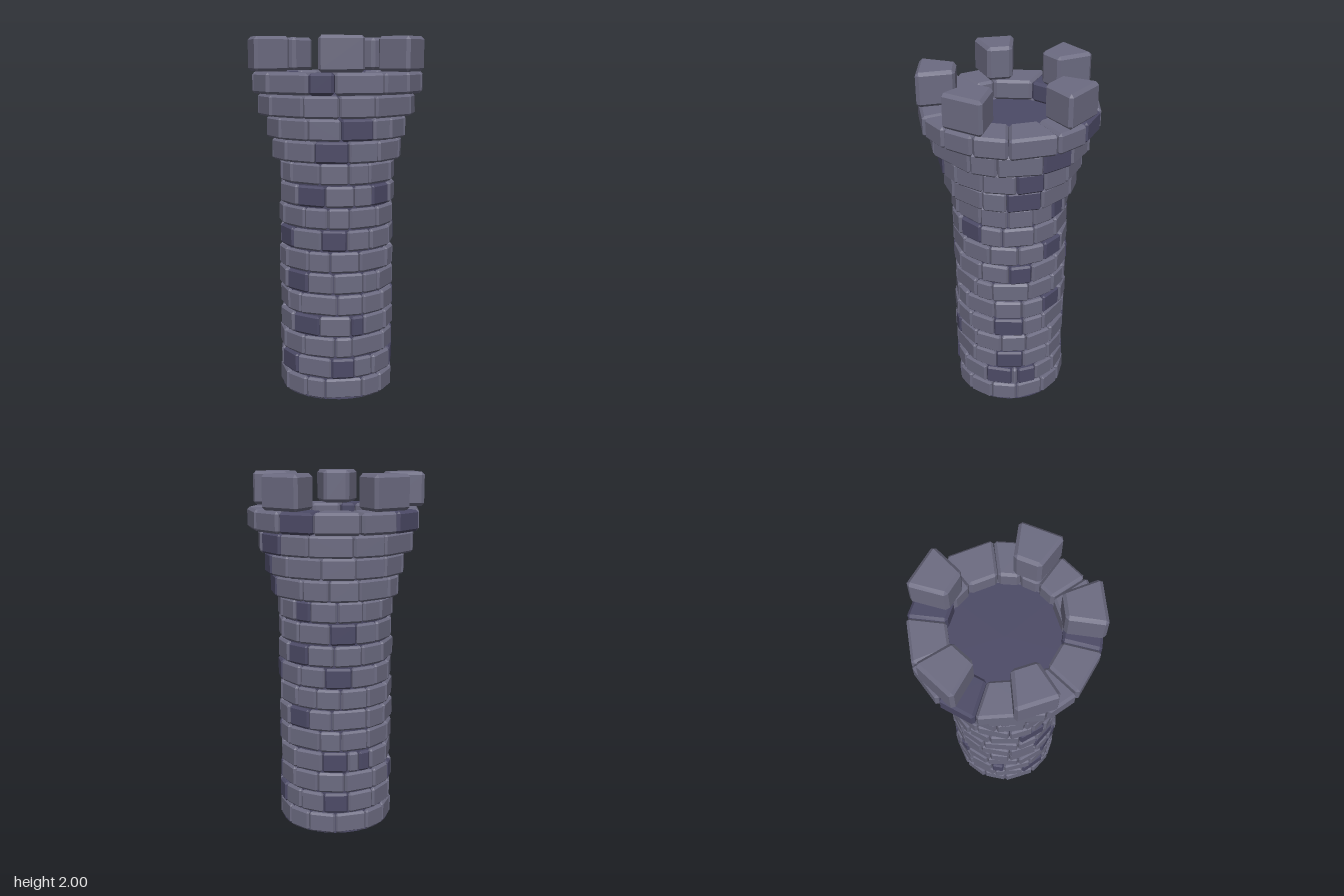
import * as THREE from 'three';
import { ConvexGeometry } from 'three/addons/geometries/ConvexGeometry.js';
import { mergeGeometries } from 'three/addons/utils/BufferGeometryUtils.js';

const stone = new THREE.MeshStandardMaterial({ color: 0x6c6b81 });
stone.name = 'greyStone';
const darkStone = new THREE.MeshStandardMaterial({ color: 0x4c4a66 });
darkStone.name = 'darkStone';

let seed = 7;
function rand() {
  seed = (seed * 16807) % 2147483647;
  return seed / 2147483647;
}

// Wedge-shaped block with chamfered edges; angles in degrees from +x towards +z
function block(a0, a1, rIn, rOut, y0, y1, bevel) {
  const points = [];
  for (const i of [0, 1]) for (const j of [0, 1]) for (const k of [0, 1]) {
    for (let flush = 0; flush < 3; flush++) {
      const inset = [0, 1, 2].map((axis) => (axis === flush ? 0 : bevel));
      const r = j ? rOut - inset[1] : rIn + inset[1];
      const step = inset[0] / (j ? rOut : rIn);
      const a = THREE.MathUtils.degToRad(i ? a1 : a0) + (i ? -step : step);
      const y = k ? y1 - inset[2] : y0 + inset[2];
      points.push(new THREE.Vector3(r * Math.cos(a), y, r * Math.sin(a)));
    }
  }
  return new ConvexGeometry(points);
}

// Fill the spaces between the dark bricks of a course with plain ones
function layCourse(dark, start) {
  const bricks = [];
  const stops = dark.length ? dark : [[start, start]];
  stops.forEach(([a, b], i) => {
    if (b > a) bricks.push([a, b, true]);
    const next = i + 1 < stops.length ? stops[i + 1][0] : stops[0][0] + 360;
    const n = Math.max(1, Math.round((next - b) / 27));
    const width = (next - b) / n;
    let from = b;
    for (let k = 1; k <= n; k++) {
      const to = k === n ? next : b + width * (k + (rand() - 0.5) * 0.45);
      bricks.push([from, to, false]);
      from = to;
    }
  });
  return bricks;
}

// Angle ranges of the dark bricks in each course, from the ground up
const darkBricks = [
  [],
  [[30, 54], [92, 121], [211, 237], [286, 306], [312, 340]],
  [[143, 157], [300, 329]],
  [[20, 34], [66, 97], [187, 200], [212, 238]],
  [[300, 331]],
  [[79, 108], [252, 278]],
  [],
  [[38, 64], [97, 126], [208, 235], [292, 315]],
  [[253, 278]],
  [[-16, 11], [60, 90], [203, 230]],
  [[250, 268]],
  [[38, 68], [287, 317]],
  [[18, 45], [287, 309]],
  [[267, 291]],
];

// Top course laid out brick by brick
const rimCuts = [-2.5, 17.5, 50, 66.5, 96.5, 117, 159, 183, 208.5, 238.5, 262, 284.5, 315, 337];
const rimDark = [50, 159, 238.5];
const rim = rimCuts.map((a, i) => [a, rimCuts[i + 1] ?? 357.5, rimDark.includes(a)]);

function addMesh(parent, name, geometry, material) {
  const mesh = new THREE.Mesh(geometry, material);
  mesh.name = name;
  parent.add(mesh);
  return mesh;
}

export function createModel() {
  seed = 7;
  const tower = new THREE.Group();
  tower.name = 'stoneTower';

  // Solid core, whose top is the floor inside the battlement
  addMesh(tower, 'coreAndFloor', new THREE.CylinderGeometry(0.3, 0.3, 1.694, 32), darkStone)
    .position.y = 0.848;
  addMesh(tower, 'baseDisc', new THREE.CylinderGeometry(0.315, 0.315, 0.008, 32), darkStone)
    .position.y = 0.004;

  // Brick courses, flaring outward near the top
  const pitch = 0.1212;
  const flare = { 11: 0.365, 12: 0.392, 13: 0.437, 14: 0.487 };
  for (let row = 0; row < 15; row++) {
    const course = new THREE.Group();
    course.name = `course${row + 1}`;
    const radius = flare[row] ?? 0.325;
    const isRim = row === 14;
    const y0 = row * pitch;
    const y1 = y0 + 0.114;
    const plain = [];
    const dark = [];
    const gap = 0.22 / radius;
    for (const [a, b, isDark] of isRim ? rim : layCourse(darkBricks[row], row * 13)) {
      const r = radius + (rand() - 0.5) * 0.008;
      const rIn = isRim ? 0.284 : 0.25;
      (isDark ? dark : plain).push(
        block(a + gap / 2, b - gap / 2, rIn, r, y0, y1, isRim ? 0.014 : 0.011));
    }
    addMesh(course, 'plainBricks', mergeGeometries(plain), stone);
    if (dark.length) addMesh(course, 'darkBricks', mergeGeometries(dark), darkStone);
    tower.add(course);
  }

  // Five unevenly spaced merlons
  const merlons = [[31, 60], [110, 137], [171, 200], [248, 277.5], [330, 358.5]];
  merlons.forEach(([a, b], i) => {
    addMesh(tower, `merlon${i + 1}`, block(a, b, 0.284, 0.49, 1.813, 2, 0.017), stone);
  });

  return tower;
}
